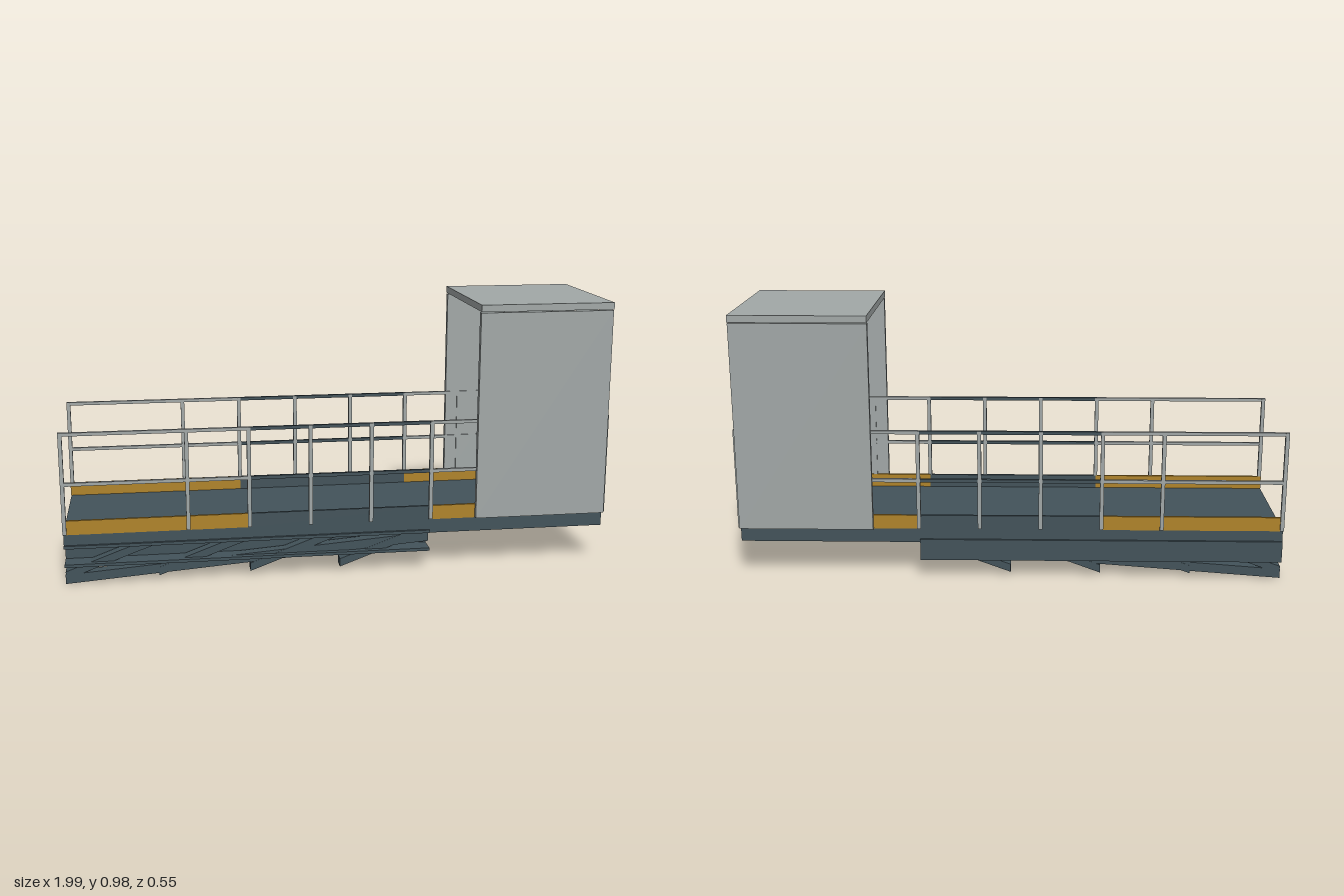
import * as THREE from 'three';

export function createModel() {
  const model = new THREE.Group();
  model.name = 'accessPlatform';

  const mat = (name, color, extra = {}) => {
    const m = new THREE.MeshStandardMaterial({ color, ...extra });
    m.name = name;
    return m;
  };
  const slate = mat('slateSteel', 0x43535a);
  const grey = mat('lightGrey', 0xa2a8a7);
  const yellow = mat('safetyYellow', 0xb0842a);

  // Box given by its minimum and maximum corners
  const box = (parent, name, material, [x0, x1], [y0, y1], [z0, z1]) => {
    const mesh = new THREE.Mesh(new THREE.BoxGeometry(x1 - x0, y1 - y0, z1 - z0), material);
    mesh.position.set((x0 + x1) / 2, (y0 + y1) / 2, (z0 + z1) / 2);
    mesh.name = name;
    parent.add(mesh);
  };

  // Sloping bar with vertical ends
  const bar = (parent, name, x0, y0, x1, y1, h, z0, z1) => {
    const s = new THREE.Shape([
      new THREE.Vector2(x0, y0), new THREE.Vector2(x1, y1),
      new THREE.Vector2(x1, y1 + h), new THREE.Vector2(x0, y0 + h),
    ]);
    const mesh = new THREE.Mesh(
      new THREE.ExtrudeGeometry(s, { depth: z1 - z0, bevelEnabled: false }), slate);
    mesh.position.z = z0;
    mesh.name = name;
    parent.add(mesh);
  };

  box(model, 'deck', slate, [-0.995, 0.99], [0.135, 0.19], [-0.247, 0.247]);

  // Shelter: two walls and a roof, open at both ends
  const shelter = new THREE.Group();
  shelter.name = 'shelter';
  model.add(shelter);
  box(shelter, 'leftWall', grey, [0.5, 0.99], [0.19, 0.952], [0.248, 0.269]);
  box(shelter, 'rightWall', grey, [0.5, 0.99], [0.19, 0.952], [-0.269, -0.248]);
  box(shelter, 'roof', grey, [0.5, 0.99], [0.956, 0.981], [-0.274, 0.274]);

  // Railings: the middle bay has dark rails and toe board
  const bays = [[-0.997, -0.333, grey, yellow], [-0.333, 0.333, slate, slate], [0.333, 0.997, grey, yellow]];
  const posts = [-0.99, -0.553, -0.333, -0.111, 0.111, 0.333, 0.553, 0.99];
  for (const side of [1, -1]) {
    const railing = new THREE.Group();
    railing.name = side > 0 ? 'frontRailing' : 'backRailing';
    model.add(railing);
    const zSpan = (a, b) => (side > 0 ? [a, b] : [-b, -a]);
    for (const [x0, x1, railMat, toeMat] of bays) {
      for (const y of [0.374, 0.555])
        box(railing, 'rail', railMat, [x0, x1], [y - 0.006, y + 0.006], zSpan(0.244, 0.256));
      box(railing, 'toeBoard', toeMat, [Math.max(x0, -0.995), Math.min(x1, 0.99)],
        [0.188, 0.24], zSpan(0.24, 0.2505));
    }
    for (const x of posts)
      box(railing, 'post', grey, [x - 0.007, x + 0.007], [0.19, 0.5605], zSpan(0.2435, 0.2565));
  }

  // Undercarriage: two channels, both open towards the front, holding folded arms
  for (const [i, z] of [0.215, -0.215].entries()) {
    const carriage = new THREE.Group();
    carriage.name = i ? 'backCarriage' : 'frontCarriage';
    model.add(carriage);
    const back = z - 0.04, front = z + 0.042, ends = [-0.995, 0.33];
    box(carriage, 'channelWeb', slate, ends, [0.068, 0.148], [back, back + 0.012]);
    box(carriage, 'channelLowerFlange', slate, ends, [0.068, 0.079], [back + 0.012, front]);
    box(carriage, 'channelUpperFlange', slate, ends, [0.137, 0.148], [back + 0.012, front]);
    bar(carriage, 'longArm', -0.995, 0, 0.329, 0.1, 0.034, z - 0.021, z + 0.021);
    for (const x of [-0.994, -0.663, -0.332, -0.002])
      bar(carriage, 'shortArm', x, 0.016, x + 0.32, 0.134, 0.03, z - 0.022, z + 0.022);
  }

  return model;
}
